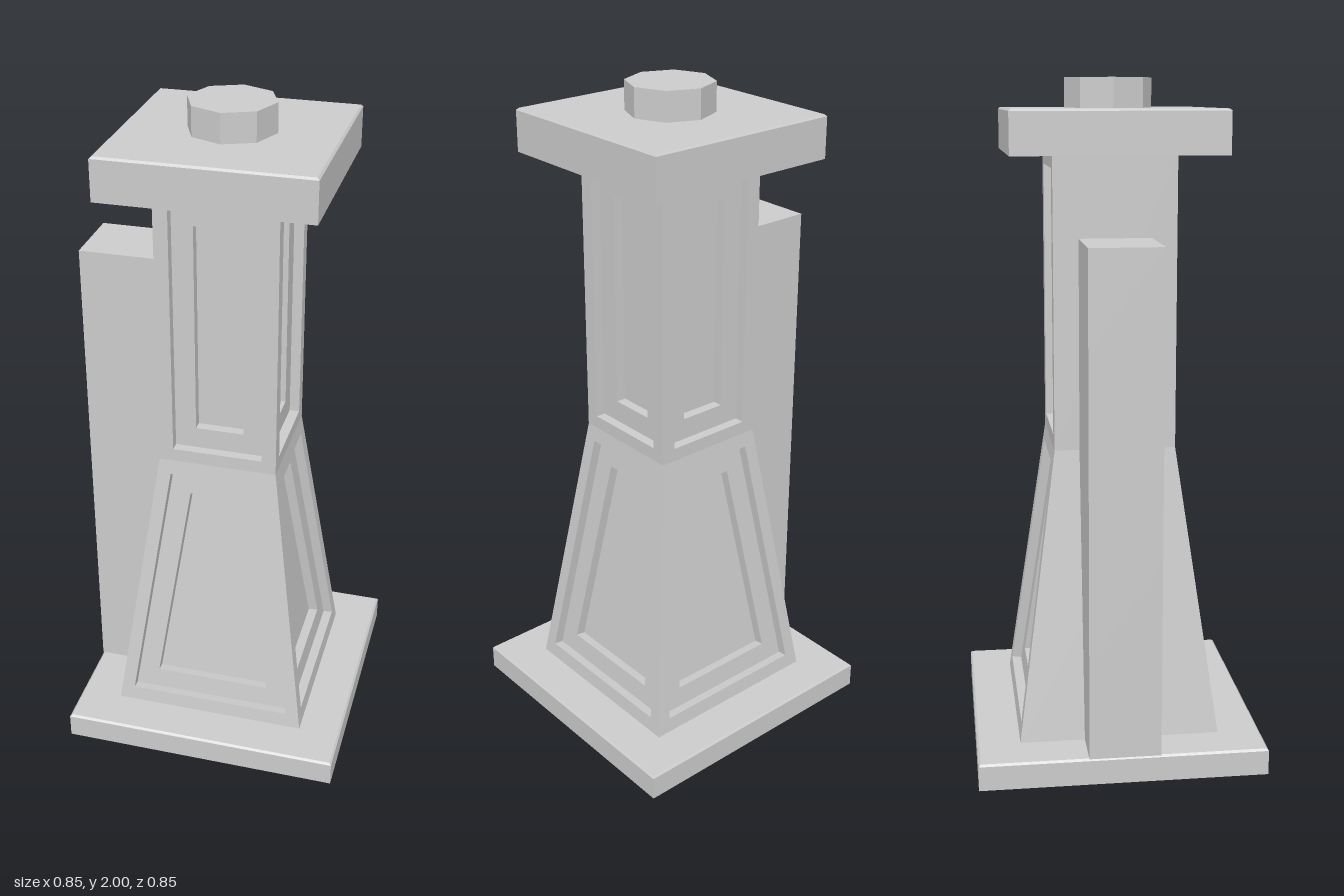
import * as THREE from 'three';

const material = new THREE.MeshStandardMaterial({ color: 0xcccccc, flatShading: true });

function add(parent, name, geometry, x = 0, y = 0, z = 0) {
  const mesh = new THREE.Mesh(geometry, material);
  mesh.name = name;
  mesh.position.set(x, y, z);
  parent.add(mesh);
  return mesh;
}

// One side of a square tapered shaft, facing +z, with stepped recessed panels.
// body and panels: [yBottom, halfWidthBottom, yTop, halfWidthTop]
function sideGeometry(body, panels, step = 0.03) {
  const [y0, w0, y1, w1] = body;
  const slope = (w1 - w0) / (y1 - y0);
  const normal = new THREE.Vector3(0, -slope, 1).normalize();
  const loop = ([yb, wb, yt, wt], depth) =>
    [[-wb, yb], [wb, yb], [wt, yt], [-wt, yt]].map(([x, y]) =>
      new THREE.Vector3(x, y, w0 + slope * (y - y0)).addScaledVector(normal, -depth));

  const loops = [loop(body, 0)];
  panels.forEach((panel, i) => loops.push(loop(panel, i * step), loop(panel, (i + 1) * step)));

  const positions = [];
  const quad = (a, b, c, d) => [a, b, c, a, c, d].forEach((p) => positions.push(p.x, p.y, p.z));
  for (let k = 0; k + 1 < loops.length; k++) {
    const a = loops[k], b = loops[k + 1];
    for (let i = 0; i < 4; i++) {
      const j = (i + 1) % 4;
      quad(a[i], a[j], b[j], b[i]);
    }
  }
  quad(...loops[loops.length - 1]);

  const geometry = new THREE.BufferGeometry();
  geometry.setAttribute('position', new THREE.Float32BufferAttribute(positions, 3));
  geometry.computeVertexNormals();
  return geometry;
}

// Square slab with a fine chamfer around its top edge
function addSlab(parent, name, half, y0, y1, chamfer = 0.006) {
  const r = half * Math.SQRT2;
  const profile = [[0, y0], [r, y0], [r, y1 - chamfer], [r - chamfer * Math.SQRT2, y1], [0, y1]];
  const geometry = new THREE.LatheGeometry(profile.map(([x, y]) => new THREE.Vector2(x, y)), 4);
  geometry.rotateY(Math.PI / 4);
  add(parent, name, geometry);
}

export function createModel() {
  const model = new THREE.Group();
  model.name = 'pillar';

  addSlab(model, 'basePlinth', 0.425, 0, 0.08);

  // Panelled shaft: flared pedestal below, straight column above
  const sections = [
    {
      name: 'pedestal', body: [0.08, 0.297, 0.94, 0.178],
      panels: [[0.125, 0.25, 0.895, 0.143], [0.187, 0.177, 0.825, 0.088]],
    },
    {
      name: 'column', body: [0.94, 0.178, 1.79, 0.178],
      panels: [[0.98, 0.135, 1.75, 0.135], [1.045, 0.072, 1.685, 0.072]],
    },
  ];
  for (const { name, body, panels } of sections) {
    const group = new THREE.Group();
    group.name = name;
    ['front', 'left', 'back', 'right'].forEach((side, i) => {
      // The side behind the buttress is plain
      const geometry = sideGeometry(body, side === 'right' ? [] : panels);
      add(group, side + 'Side', geometry).rotation.y = i * Math.PI / 2;
    });
    model.add(group);
  }

  // Cap and octagonal finial
  addSlab(model, 'capSlab', 0.304, 1.79, 1.915);
  add(model, 'finial', new THREE.CylinderGeometry(0.127, 0.127, 0.085, 8), 0, 1.9575, 0);

  // Buttress of stacked blocks against the right side
  const buttress = new THREE.Group();
  buttress.name = 'buttress';
  const count = 5, bottom = 0.08, height = (1.555 - bottom) / count;
  for (let i = 0; i < count; i++) {
    add(buttress, 'buttressBlock', new THREE.BoxGeometry(0.255, height, 0.21),
      -0.2975, bottom + (i + 0.5) * height, 0);
  }
  model.add(buttress);

  return model;
}
